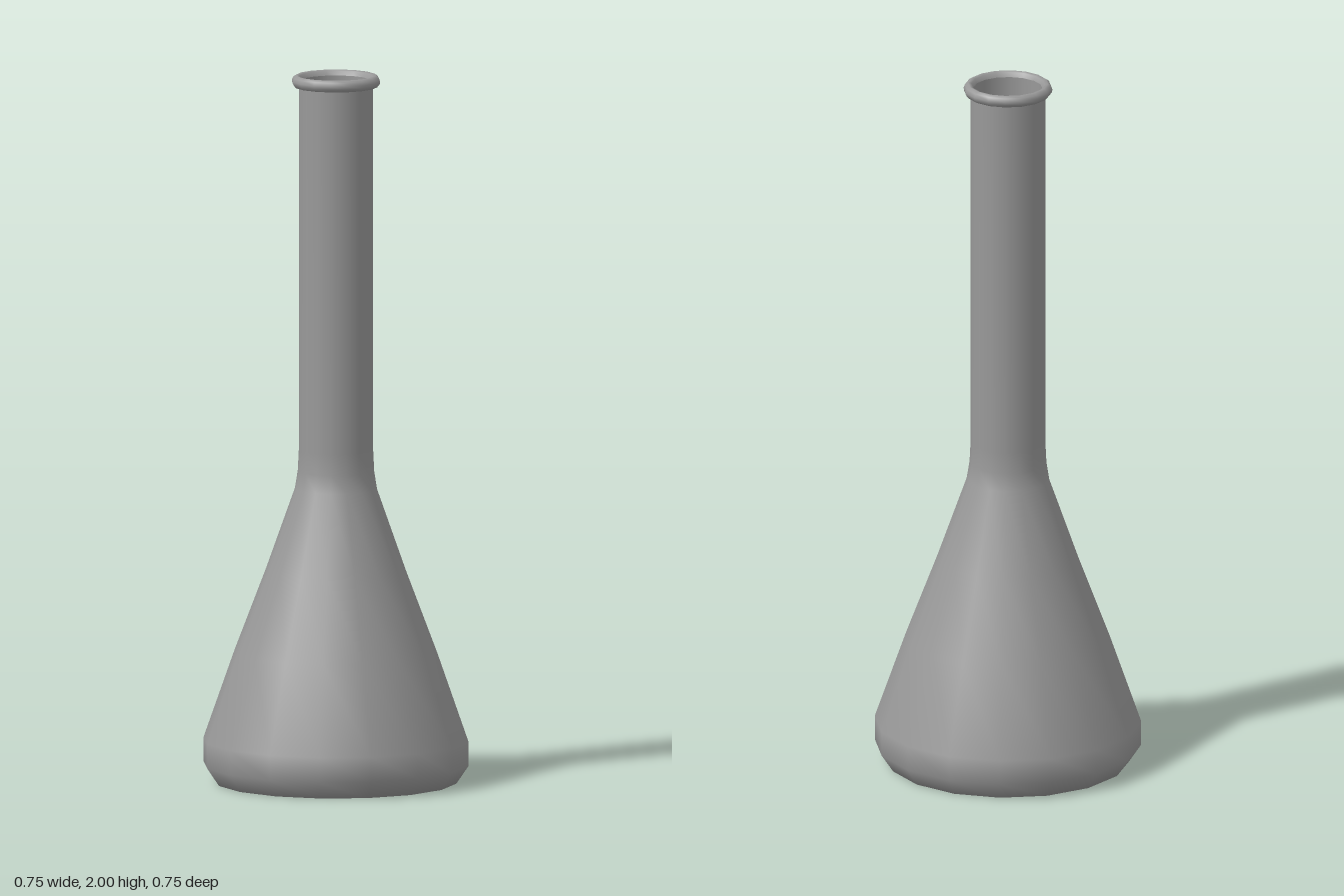
import * as THREE from 'three';

const SIDES = 16;

export function createModel() {
  const group = new THREE.Group();
  group.name = 'flask';
  const material = new THREE.MeshStandardMaterial({ color: 0x999999, side: THREE.DoubleSide });

  // Turns a profile of [radius, height] pairs about the y axis
  const turn = (name, profile) => {
    const points = profile.map(([r, y]) => new THREE.Vector2(r, y));
    const mesh = new THREE.Mesh(new THREE.LatheGeometry(points, SIDES), material);
    mesh.name = name;
    group.add(mesh);
  };

  // Outer wall: hollowed base, conical body, long neck
  turn('outerWall', [
    [0, 0.04], [0.27, 0.025], [0.34, 0], [0.374, 0.05], [0.374, 0.12],
    [0.286, 0.37], [0.198, 0.6], [0.116, 0.83], [0.108, 0.88], [0.105, 0.94], [0.105, 1.975],
  ]);

  // Inner wall, from the mouth down to the floor
  turn('innerWall', [
    [0.097, 1.985], [0.097, 0.94], [0.108, 0.83], [0.19, 0.6], [0.278, 0.37],
    [0.364, 0.12], [0.36, 0.07], [0.32, 0.05], [0, 0.05],
  ]);

  // Rounded bead around the mouth
  turn('rim', [
    [0.104, 1.966], [0.116, 1.967], [0.123, 1.975], [0.125, 1.984],
    [0.121, 1.994], [0.112, 2], [0.103, 1.997], [0.097, 1.985],
  ]);

  return group;
}
